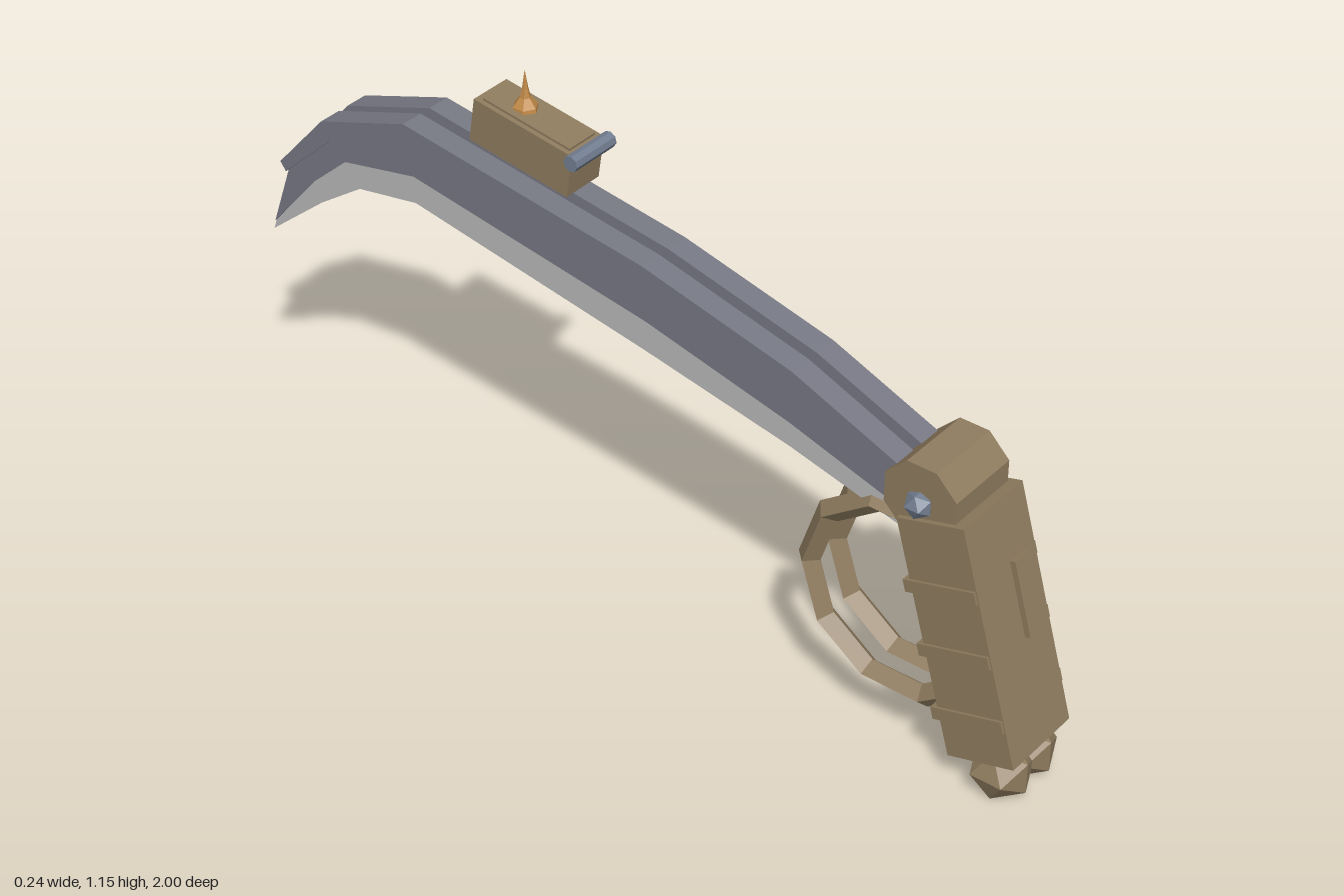
import * as THREE from 'three';

const mat = (name, color) => {
  const m = new THREE.MeshStandardMaterial({ color, flatShading: true });
  m.name = name;
  return m;
};

export function createModel() {
  const brown = mat('brown casing', 0x8f7c5f);
  const steel = mat('blade steel', 0x767883);
  const edge = mat('sharpened edge', 0xb9bab9);
  const blue = mat('blue steel', 0x727e90);
  const gold = mat('brass', 0xc08a48);

  const root = new THREE.Group();
  root.name = 'sickle';

  const add = (parent, name, geo, material, x = 0, y = 0, z = 0) => {
    const m = new THREE.Mesh(geo, material);
    m.name = name;
    m.position.set(x, y, z);
    parent.add(m);
    return m;
  };
  const box = (w, h, d) => new THREE.BoxGeometry(w, h, d);

  // Side outlines of the blade, as [z, y] points from hub to tip
  const top = [[0.72, 0.685], [0.41, 0.81], [0.04, 0.9], [-0.59, 0.99], [-0.825, 0.908], [-0.955, 0.76]];
  const ridge = [[0.72, 0.635], [0.40, 0.765], [0.04, 0.855], [-0.58, 0.948], [-0.80, 0.872], [-0.94, 0.74]];
  const mid = [[0.70, 0.59], [0.40, 0.68], [0.04, 0.765], [-0.575, 0.865], [-0.77, 0.825], [-0.87, 0.735], [-0.992, 0.59]];
  const low = [[0.67, 0.553], [0.40, 0.62], [0.04, 0.69], [-0.575, 0.798], [-0.735, 0.77], [-0.85, 0.69], [-1, 0.565]];

  // Strip between two outlines, with the given thickness along x
  const strip = (upper, lower, width) => {
    const pts = [...upper, ...[...lower].reverse()].map(([z, y]) => new THREE.Vector2(-z, y));
    const g = new THREE.ExtrudeGeometry(new THREE.Shape(pts), { depth: width, bevelEnabled: false });
    return g.translate(0, 0, -width / 2).rotateY(Math.PI / 2);
  };

  // Twin blades: wide spine, narrower body, bright cutting edge
  for (const s of [-1, 1]) {
    const blade = new THREE.Group();
    blade.name = s > 0 ? 'leftBlade' : 'rightBlade';
    blade.position.x = s * 0.041;
    root.add(blade);
    add(blade, 'bladeSpine', strip(top, ridge, 0.055), steel);
    add(blade, 'bladeBody', strip(ridge, mid, 0.038), steel);
    add(blade, 'cuttingEdge', strip(mid, low, 0.03), edge);
  }

  // Tilted grip with three bands and a front plate
  const grip = new THREE.Group();
  grip.name = 'grip';
  grip.position.set(0, 0.107, 0.918);
  grip.rotation.x = -0.28;
  root.add(grip);
  add(grip, 'gripBody', box(0.2, 0.545, 0.16), brown, 0, 0.272, 0);
  for (const y of [0.1, 0.247, 0.393]) add(grip, 'gripBand', box(0.212, 0.028, 0.17), brown, 0, y, -0.008);
  add(grip, 'frontPlate', box(0.048, 0.172, 0.02), brown, 0.039, 0.325, 0.083);

  // Octagonal hub holding the blades
  const hub = new THREE.CylinderGeometry(0.09, 0.09, 0.178, 8).rotateY(Math.PI / 8).rotateZ(Math.PI / 2);
  add(root, 'hub', hub, brown, 0, 0.66, 0.735);

  // Paired bolts, guard rings and pommel studs
  for (const s of [-1, 1]) {
    add(root, 'hubBolt', new THREE.IcosahedronGeometry(0.031, 0), blue, s * 0.092, 0.657, 0.735);
    const ring = new THREE.TorusGeometry(0.224, 0.027, 4, 10).rotateY(Math.PI / 2);
    add(root, 'guardRing', ring, brown, s * 0.045, 0.365, 0.675);
    add(root, 'pommelStud', new THREE.IcosahedronGeometry(0.07, 0), brown, s * 0.042, 0.065, 0.933);
  }

  // Sight box standing on the left blade
  const sight = new THREE.Group();
  sight.name = 'sight';
  sight.position.set(0.04, 1.008, -0.323);
  sight.rotation.x = 0.146;
  root.add(sight);
  add(sight, 'sightBox', box(0.102, 0.103, 0.26), brown);
  add(sight, 'sightLid', box(0.08, 0.008, 0.23), brown, 0, 0.053, 0);
  const bar = new THREE.CylinderGeometry(0.018, 0.018, 0.125, 8).rotateZ(Math.PI / 2);
  add(sight, 'sightBar', bar, blue, 0, 0.042, 0.137);

  // Brass spike on the sight box
  const profile = [[0.03, 1.055], [0.027, 1.075], [0.012, 1.095], [0.007, 1.115], [0, 1.158]]
    .map(([r, y]) => new THREE.Vector2(r, y));
  add(root, 'spike', new THREE.LatheGeometry(profile, 6), gold, 0.04, 0, -0.35);

  return root;
}
